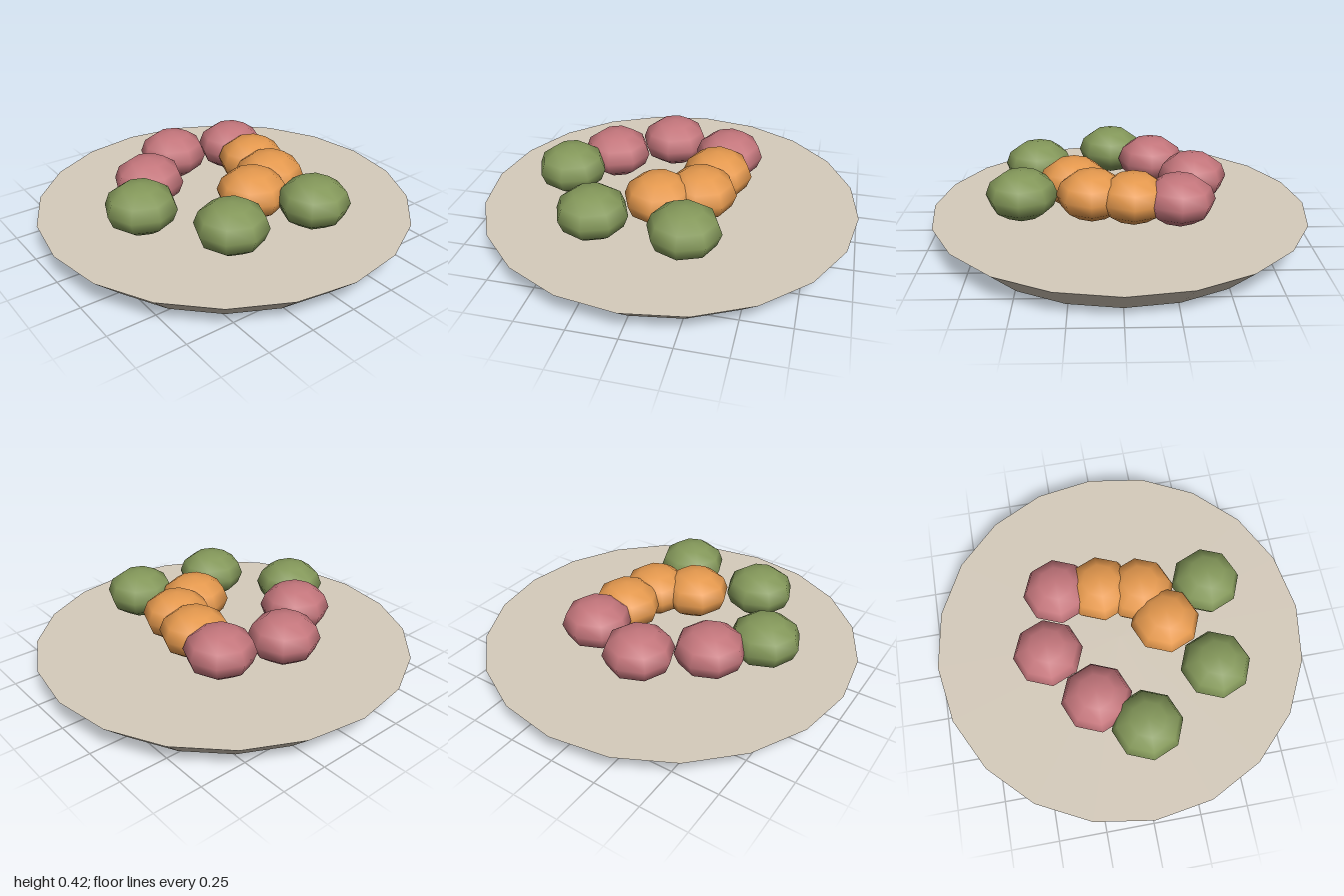
import * as THREE from 'three';

const material = (color) => new THREE.MeshStandardMaterial({ color });

export function createModel() {
  const model = new THREE.Group();
  model.name = 'plateOfDumplings';

  // Shallow solid plate with a flared rim
  const plateHeight = 0.148;
  const plate = new THREE.Mesh(
    new THREE.CylinderGeometry(1, 0.84, plateHeight, 20),
    material(0xd6ccbc)
  );
  plate.name = 'plate';
  plate.position.y = plateHeight / 2;
  model.add(plate);

  // Squashed balls in three colours, each placed at [x, z]
  const ball = new THREE.SphereGeometry(0.185, 8, 6).scale(1, 0.7, 1);
  const sets = [
    { name: 'pinkBall', color: 0xc4767c, spots: [[-0.355, -0.185], [-0.07, -0.395], [0.265, -0.295]] },
    { name: 'greenBall', color: 0x84985a, spots: [[-0.54, 0.045], [-0.29, 0.455], [0.185, 0.505]] },
    { name: 'orangeBall', color: 0xe5994e, spots: [[0, 0.245], [0.195, 0.145], [0.24, -0.065]] },
  ];
  for (const { name, color, spots } of sets) {
    const skin = material(color);
    spots.forEach(([x, z], i) => {
      const mesh = new THREE.Mesh(ball, skin);
      mesh.name = name + (i + 1);
      mesh.position.set(x, 0.286, z);
      model.add(mesh);
    });
  }
  return model;
}
